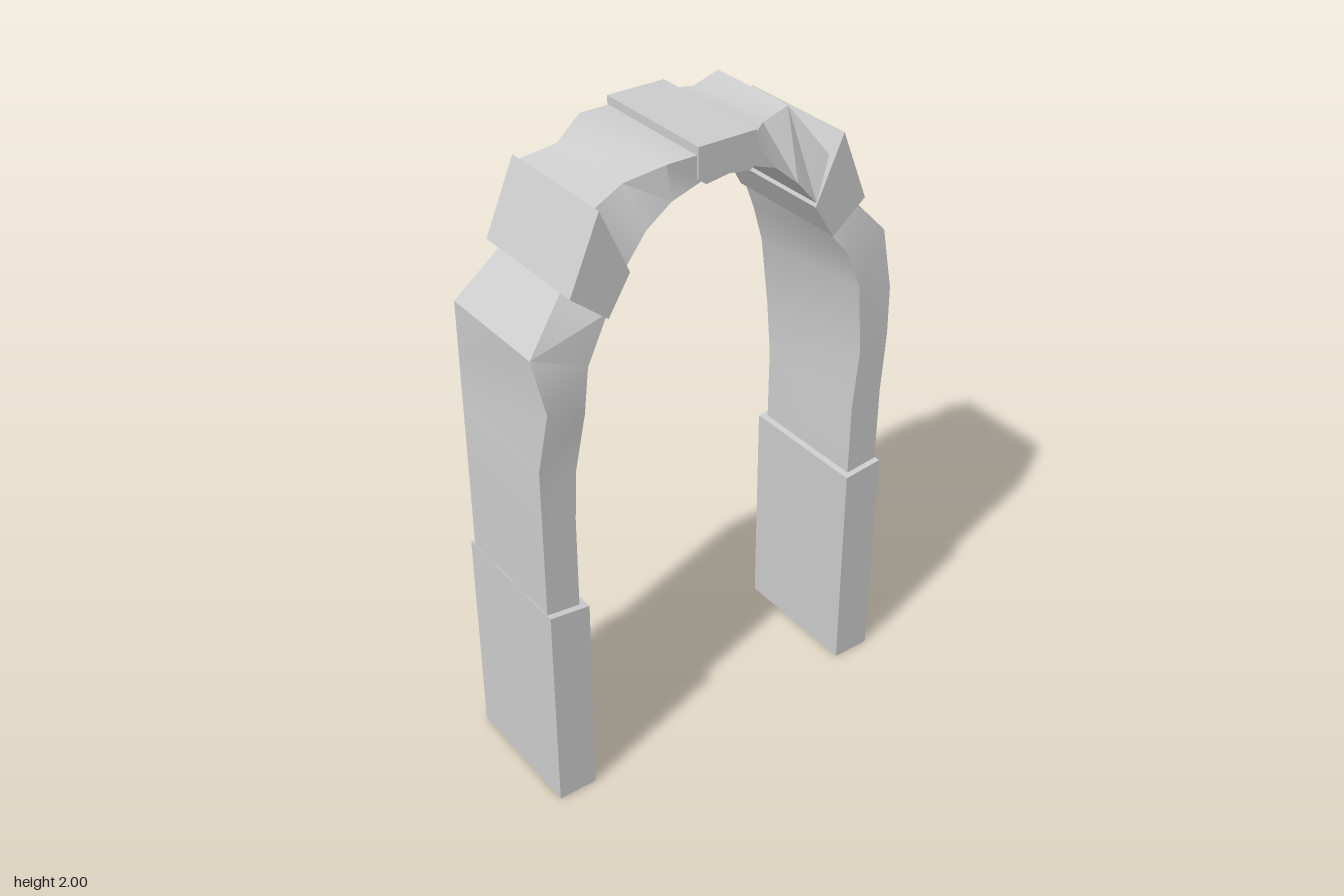
import * as THREE from 'three';
import { toCreasedNormals } from 'three/addons/utils/BufferGeometryUtils.js';

const W = 0.2;

// A stone lofted through sections that travel over the arch from front to back.
// Section: outer z, y, inner z, y, then optional chips of the corners:
// a, b = outer x at -x / +x; c, d = inner x at +x / -x; oz, iz = z shift of the +x corners
function stone(name, sections, w = W) {
  const rings = sections.map(([z0, y0, z1, y1, o = {}]) => [
    [o.a ?? -w, y0, z0],
    [o.b ?? w, y0, z0 + (o.oz ?? 0)],
    [o.c ?? w, y1, z1 + (o.iz ?? 0)],
    [o.d ?? -w, y1, z1],
  ]);
  const pos = [];
  const quad = (a, b, c, d) => [a, b, c, a, c, d].forEach((p) => pos.push(...p));
  for (let i = 0; i < rings.length - 1; i++) {
    for (let j = 0; j < 4; j++) {
      const k = (j + 1) % 4;
      quad(rings[i][j], rings[i][k], rings[i + 1][k], rings[i + 1][j]);
    }
  }
  const [a, b, c, d] = rings[0];
  quad(d, c, b, a);
  quad(...rings[rings.length - 1]);
  const geo = new THREE.BufferGeometry();
  geo.setAttribute('position', new THREE.Float32BufferAttribute(pos, 3));
  const mesh = new THREE.Mesh(
    toCreasedNormals(geo, 0.5),
    new THREE.MeshStandardMaterial({ color: 0xcccccc })
  );
  mesh.name = name;
  return mesh;
}

export function createModel() {
  const arch = new THREE.Group();
  arch.name = 'stoneArch';

  // Plinths at the feet, with slightly sloping tops
  arch.add(stone('frontPlinth', [
    [0.617, 0, 0.49, 0],
    [0.617, 0.71, 0.487, 0.695],
  ], 0.22));
  arch.add(stone('backPlinth', [
    [-0.605, 0.75, -0.472, 0.735],
    [-0.605, 0, -0.477, 0],
  ], 0.22));

  // Posts curving inwards, with worn corners
  arch.add(stone('frontPost', [
    [0.615, 0.66, 0.508, 0.66],
    [0.615, 1.0, 0.508, 1.0],
    [0.615, 1.2, 0.5, 1.16],
    [0.615, 1.38, 0.465, 1.33, { b: 0.215, oz: -0.025 }],
    [0.615, 1.54, 0.45, 1.47, { b: 0.185 }],
    [0.47, 1.69, 0.385, 1.61, { a: -0.165, b: 0.13 }],
  ]));
  arch.add(stone('backPost', [
    [-0.46, 1.69, -0.375, 1.61, { a: -0.19, b: 0.15, c: 0.17 }],
    [-0.6, 1.54, -0.41, 1.52, { b: 0.17, iz: -0.03 }],
    [-0.612, 1.36, -0.445, 1.4, { iz: -0.045 }],
    [-0.615, 1.2, -0.475, 1.17, { iz: -0.035 }],
    [-0.603, 1.0, -0.492, 0.98],
    [-0.603, 0.7, -0.492, 0.7],
  ]));

  // Protruding blocks at the haunches
  arch.add(stone('frontHaunch', [
    [0.5, 1.69, 0.385, 1.595],
    [0.405, 1.91, 0.315, 1.71],
  ], 0.205));
  arch.add(stone('backHaunch', [
    [-0.395, 1.91, -0.305, 1.71],
    [-0.485, 1.69, -0.375, 1.6, { a: -0.215, d: -0.22 }],
  ], 0.203));

  // Curved stones between haunches and keystone, chipped at the outer edges
  arch.add(stone('frontVoussoir', [
    [0.395, 1.9, 0.325, 1.725, { a: -0.19, b: 0.17 }],
    [0.29, 1.927, 0.26, 1.81, { a: -0.165, b: 0.14 }],
    [0.195, 1.975, 0.18, 1.868],
    [0.08, 1.975, 0.08, 1.9],
  ]));
  arch.add(stone('backVoussoir', [
    [-0.08, 1.975, -0.07, 1.9],
    [-0.185, 1.96, -0.16, 1.868, { b: 0.11 }],
    [-0.27, 1.987, -0.24, 1.8, { b: 0.11 }],
    [-0.38, 1.82, -0.31, 1.72, { b: 0.19 }],
  ]));

  // Keystone at the crown
  arch.add(stone('keystone', [
    [0.1, 2, 0.1, 1.91],
    [0.08, 2, 0.075, 1.89],
    [0, 2, 0, 1.9],
    [-0.075, 2, -0.07, 1.89],
    [-0.088, 2, -0.088, 1.91],
  ], 0.207));

  return arch;
}
